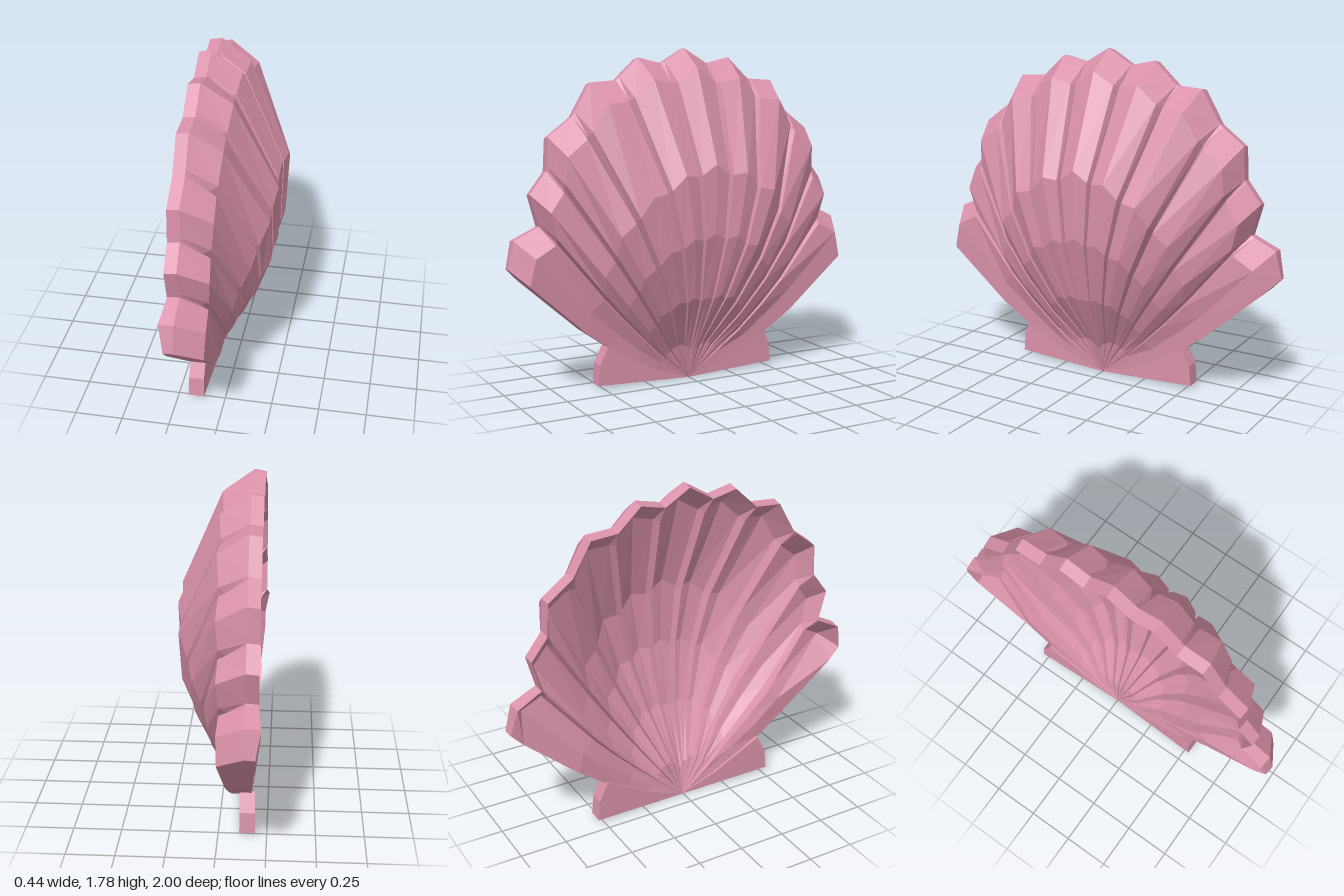
import * as THREE from 'three';

const lerp = THREE.MathUtils.lerp;

// Rim outline of one half as [z, y]: rib peaks and the valleys after them
const PEAKS = [[0, 1.78], [0.27, 1.73], [0.54, 1.605], [0.775, 1.335], [0.875, 1.05], [0.965, 0.82]];
const VALLEYS = [[0.135, 1.70], [0.395, 1.615], [0.64, 1.435], [0.785, 1.165], [0.83, 0.885], [1.0, 0.68]];

// Stations from the apex to the front edge of the rim, for the middle and the outermost ribs
const T_MID = [0, 0.085, 0.27, 0.47, 0.67, 0.94];
const T_END = [0, 0.2, 0.34, 0.48, 0.62, 0.93];
const LOW = [-0.1, -0.075, -0.06, -0.05, -0.035, -0.012];  // height of the outermost rib
const HIGH = [-0.09, -0.045, 0.12, 0.215, 0.22, 0.005];    // height of the middle ribs
const THICK = [0.065, 0.08, 0.1, 0.125, 0.145, 0.1];       // wall with a lip behind the rim
const THICK_END = [0.065, 0.085, 0.105, 0.115, 0.13, 0.185];
const GROOVE = [0, 0.02, 0.035, 0.05, 0.055, 0.05];
const BULGE = [0.97, 1, 0.94, 0.65, 0.33, 0, 0];           // by rib number

const mix = (a, b, f) => [lerp(a[0], b[0], f), lerp(a[1], b[1], f)];

// Columns of the fan: c is the rib position, sink the share of groove depth
function fanColumns() {
  const half = [];
  for (let i = 0; i < 6; i++) {
    const last = i === 5;
    half.push({ rim: PEAKS[i], c: i, sink: 0 });
    if (!last) half.push({ rim: mix(PEAKS[i], VALLEYS[i], 0.86), c: i + 0.43, sink: 0.2 });
    half.push({ rim: VALLEYS[i], c: i + 0.5, sink: last ? 0.1 : 1 });
    if (!last) half.push({ rim: mix(VALLEYS[i], PEAKS[i + 1], 0.14), c: i + 0.57, sink: 0.2 });
  }
  const mirrored = half.slice(1).map(k => ({ ...k, rim: [-k.rim[0], k.rim[1]] }));
  return [...half.reverse(), ...mirrored];
}

// Cross-section of one column: up the front, over the rim and its lip, down the back
function section({ rim, c, sink }) {
  const i = Math.floor(c);
  const bulge = lerp(BULGE[i], BULGE[i + 1], c - i);
  const droop = 0.4 * Math.pow(c / 5.5, 3);
  const end = Math.max(0, c - 5) * 2;
  const at = (t, x) => [x, Math.max(0, rim[1] * t - droop * t * (1 - t)), rim[0] * t];
  const front = T_MID.map((t, k) =>
    at(lerp(t, T_END[k], c / 5.5), lerp(LOW[k], HIGH[k], bulge) - sink * GROOVE[k]));
  const back = front.map(([x, y, z], k) => [x - lerp(THICK[k], THICK_END[k], end), y, z]);
  const backRim = c === 5 ? -0.225 : lerp(-0.212, -0.2, end);
  return [...front, at(1, -0.15), at(0.993, backRim), ...back.reverse()];
}

function fanGeometry() {
  const rings = fanColumns().map(section);
  const n = rings[0].length;
  const e = (rings.length - 1) * n;
  const index = [];
  const quad = (a, b, c, d) => index.push(a, b, c, a, c, d);
  // Front, rim and back, closed along the apex
  for (let a = 0; a < e; a += n) {
    for (let k = 0; k < n; k++) {
      const next = (k + 1) % n;
      quad(a + k, a + n + k, a + n + next, a + next);
    }
  }
  // Side walls closing the two outermost ribs
  for (let k = 0; k < 6; k++) {
    const m = n - 1 - k;
    quad(k, k + 1, m - 1, m);
    quad(e + m, e + m - 1, e + k + 1, e + k);
  }
  index.push(6, 7, 8, e + 6, e + 8, e + 7);
  const g = new THREE.BufferGeometry();
  g.setAttribute('position', new THREE.Float32BufferAttribute(rings.flat(2), 3));
  g.setIndex(index);
  const flat = g.toNonIndexed();
  flat.computeVertexNormals();
  return flat;
}

// Flat wing beside the apex, growing thicker towards its end
function wingGeometry(side) {
  const outline = [[0, 0], [0.53, 0.02], [0.52, 0.13], [0.47, 0.23], [0.4, 0.19], [0.2, 0.08]];
  const shape = new THREE.Shape(outline.map(([z, y]) => new THREE.Vector2(z * side, y)));
  const g = new THREE.ExtrudeGeometry(shape, { depth: 1, bevelEnabled: false });
  g.rotateY(Math.PI / 2);
  const p = g.attributes.position;
  for (let i = 0; i < p.count; i++) {
    const f = Math.abs(p.getZ(i)) / 0.53;
    p.setX(i, lerp(lerp(-0.165, -0.19, f), lerp(-0.095, -0.11, f), p.getX(i)));
  }
  g.computeVertexNormals();
  return g;
}

export function createModel() {
  const pink = new THREE.MeshStandardMaterial({ color: 0xd991a9 });
  pink.name = 'shell pink';
  const model = new THREE.Group();
  model.name = 'scallopShell';
  const add = (name, geometry) => {
    const mesh = new THREE.Mesh(geometry, pink);
    mesh.name = name;
    model.add(mesh);
  };
  add('ribbedFan', fanGeometry());
  add('frontHingeWing', wingGeometry(-1));
  add('backHingeWing', wingGeometry(1));
  return model;
}
